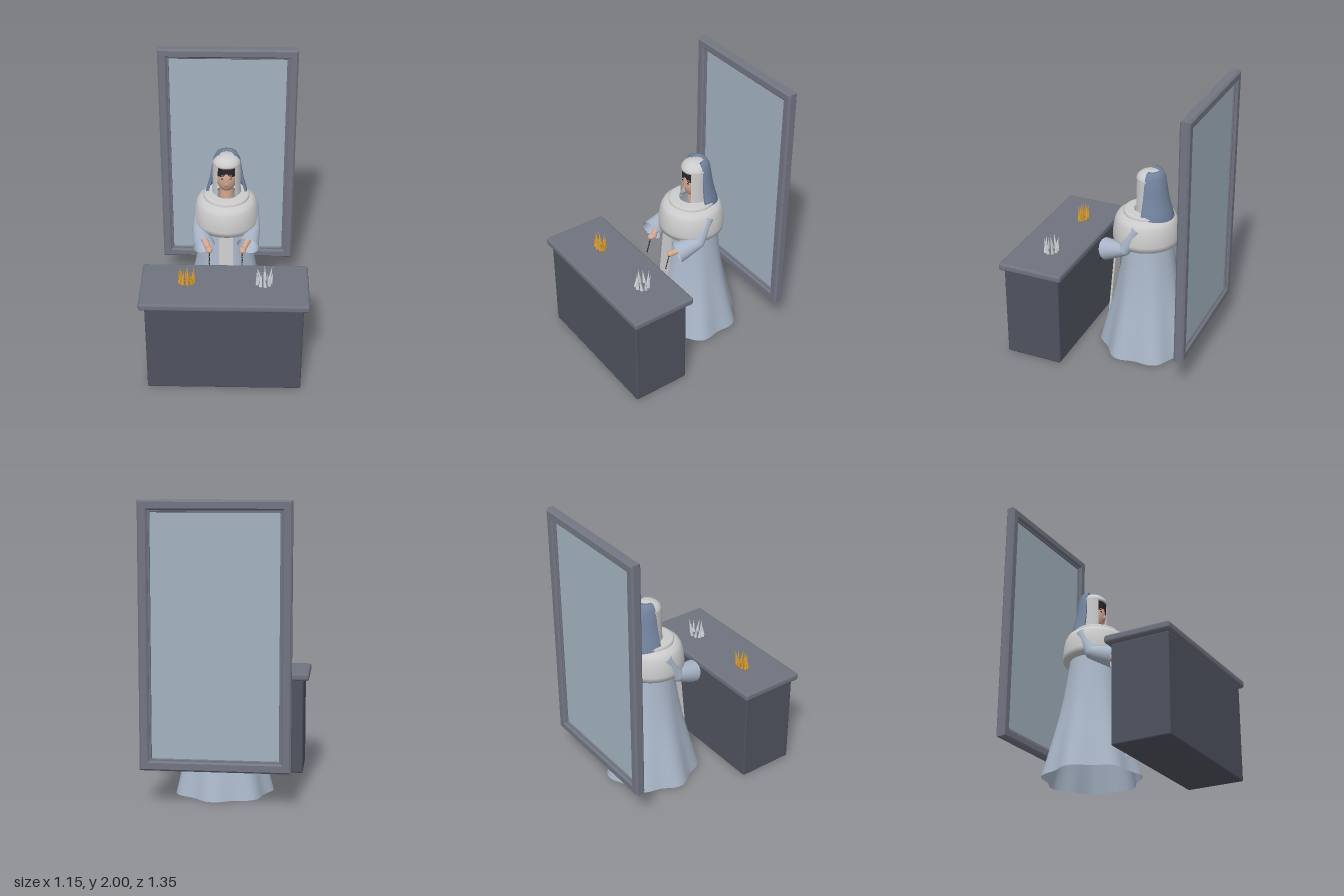
import * as THREE from 'three';
import { RoundedBoxGeometry } from 'three/addons/geometries/RoundedBoxGeometry.js';

const V = (x, y, z) => new THREE.Vector3(x, y, z);
const mat = (color, flatShading = false) =>
  new THREE.MeshStandardMaterial({ color, side: THREE.DoubleSide, flatShading });

const M = {
  altar: mat(0x4f535f), slab: mat(0x6f737f), frame: mat(0x727682), pane: mat(0xa3b2bf),
  robe: mat(0xa9b6c8), cloth: mat(0xdcdde0), veil: mat(0x73849f), skin: mat(0xd0a68e),
  hair: mat(0x2a2427), lips: mat(0x9c6258), gold: mat(0xd89c2c, true), silver: mat(0xcdd2d6, true),
};

export function createModel() {
  const root = new THREE.Group();

  function add(name, geometry, material, pos = [0, 0, 0], parent = root) {
    const mesh = new THREE.Mesh(geometry, material);
    mesh.name = name;
    mesh.position.set(...pos);
    parent.add(mesh);
    return mesh;
  }
  const lathe = (pts, seg = 48, start = 0, len = Math.PI * 2) =>
    new THREE.LatheGeometry(pts.map(p => new THREE.Vector2(...p)), seg, start, len);

  // Tapered tube from point a (radius ra) to point b (radius rb)
  function limb(name, a, b, ra, rb, material, open, parent) {
    const d = b.clone().sub(a);
    const g = new THREE.CylinderGeometry(rb, ra, d.length(), 24, 1, open);
    const m = add(name, g, material, a.clone().add(b).multiplyScalar(0.5).toArray(), parent);
    m.quaternion.setFromUnitVectors(V(0, 1, 0), d.normalize());
    return m;
  }

  // Altar block and top slab
  add('altarBody', new RoundedBoxGeometry(1.07, 0.69, 0.415, 2, 0.012), M.altar, [0, 0.347, 0.4425]);
  add('altarSlab', new RoundedBoxGeometry(1.15, 0.055, 0.475, 2, 0.018), M.slab, [0, 0.7175, 0.4375]);

  // Tall window: bevelled frame, inner bead and pane
  function border(name, w, y0, y1, t, depth, bevel) {
    const rect = (T, x, a, b) => new T().moveTo(-x, a).lineTo(x, a).lineTo(x, b).lineTo(-x, b).closePath();
    const s = rect(THREE.Shape, w - bevel, y0 + bevel, y1 - bevel);
    s.holes.push(rect(THREE.Path, w - t + bevel, y0 + t - bevel, y1 - t + bevel));
    const g = new THREE.ExtrudeGeometry(s, {
      depth: depth - 2 * bevel, bevelThickness: bevel, bevelSize: bevel, bevelSegments: 1 });
    g.translate(0, 0, -depth / 2 + bevel);
    add(name, g, M.frame, [0, 0, -0.64]);
  }
  border('windowFrame', 0.497, 0.235, 2, 0.066, 0.07, 0.012);
  border('windowBead', 0.435, 0.297, 1.938, 0.017, 0.035, 0.004);
  add('windowPane', new THREE.BoxGeometry(0.85, 1.63, 0.012), M.pane, [0, 1.1175, -0.64]);

  // Robe: flared skirt whose hem spreads into seven soft folds
  const robe = lathe([[0.328, 0], [0.298, 0.13], [0.264, 0.28], [0.23, 0.43], [0.204, 0.58],
    [0.184, 0.72], [0.168, 0.86], [0.15, 1.0], [0.1, 1.06]], 84);
  const p = robe.attributes.position;
  for (let i = 0; i < p.count; i++) {
    const x = p.getX(i), z = p.getZ(i), fall = Math.max(0, 1 - p.getY(i) / 0.9);
    const k = 1 + 0.055 * fall ** 1.4 * Math.cos(7 * (Math.atan2(x, z) - 2.99));
    p.setX(i, x * k - 0.01 * fall);
    p.setZ(i, z * k);
  }
  robe.computeVertexNormals();
  add('robe', robe, M.robe, [0, 0, -0.215]);

  // Shoulder cape, collar and front panel
  add('cape', lathe([[0.16, 0.853], [0.23, 0.853], [0.234, 0.89], [0.23, 0.95], [0.218, 1.01],
    [0.2, 1.045], [0.17, 1.063], [0.1, 1.072]]), M.cloth, [0, 0, -0.197]);
  add('collar', lathe([[0.163, 1.055], [0.165, 1.075], [0.155, 1.087], [0.135, 1.085], [0.09, 1.09]]),
    M.cloth, [0, 0, -0.2]);
  const panel = add('frontPanel', new THREE.BoxGeometry(0.1, 0.9, 0.014), M.cloth, [0, 0.55, 0.033]);
  panel.rotation.x = -0.09;

  // Head and face
  const head = new THREE.Group();
  head.name = 'head';
  root.add(head);
  add('neck', new THREE.CylinderGeometry(0.045, 0.05, 0.1, 24), M.skin, [0, 1.1, -0.22], head);
  const skull = add('face', new THREE.SphereGeometry(1, 32, 24), M.skin, [0, 1.215, -0.215], head);
  skull.scale.set(0.074, 0.115, 0.08);
  for (const s of [-1, 1]) {
    const eye = add('eye', new THREE.SphereGeometry(0.008, 12, 8), M.hair, [s * 0.028, 1.232, -0.143], head);
    eye.scale.set(1.2, 0.6, 0.7);
    const brow = add('eyebrow', new THREE.BoxGeometry(0.025, 0.004, 0.006), M.hair, [s * 0.028, 1.25, -0.145], head);
    brow.rotation.z = -s * 0.12;
  }
  const nose = add('nose', new THREE.ConeGeometry(0.009, 0.035, 8), M.skin, [0, 1.208, -0.134], head);
  nose.scale.z = 0.9;
  const mouth = add('mouth', new THREE.SphereGeometry(0.011, 12, 8), M.lips, [0, 1.172, -0.144], head);
  mouth.scale.set(1, 0.45, 0.6);

  // Fringe of hair in stepped locks
  for (let i = -2; i <= 2; i++) {
    const a = i * 0.34, drop = Math.abs(i) === 2 ? 0.085 : i === 0 ? 0.058 : 0.07;
    const lock = add('hairLock', new THREE.BoxGeometry(0.031, drop, 0.02), M.hair,
      [Math.sin(a) * 0.078, 1.332 - drop / 2, -0.22 + Math.cos(a) * 0.074], head);
    lock.rotation.y = a;
  }

  // White wimple, open around the face, with a dome on top
  const gap = 0.66;
  add('wimple', lathe([[0.105, 1.07], [0.1, 1.12], [0.1, 1.25], [0.098, 1.325]], 36, gap, Math.PI * 2 - 2 * gap),
    M.cloth, [0, 0, -0.225], head);
  add('wimpleDome', lathe([[0.088, 1.315], [0.098, 1.318], [0.098, 1.33], [0.088, 1.352], [0.066, 1.371],
    [0.035, 1.381], [0, 1.384]], 36), M.cloth, [0, 0, -0.225], head);

  // Veil: thick half shell behind the head, closed at both front edges
  const profile = [[0.05, 1.375], [0.05, 1.39], [0.075, 1.388], [0.095, 1.345], [0.107, 1.27], [0.12, 1.19],
    [0.14, 1.11], [0.162, 1.035], [0.145, 1.035], [0.122, 1.11], [0.104, 1.19], [0.098, 1.27], [0.086, 1.34],
    [0.068, 1.372], [0.05, 1.375]];
  const veil = new THREE.Group();
  veil.name = 'veil';
  veil.position.z = -0.235;
  root.add(veil);
  const start = Math.PI / 2 - 0.16;
  add('veilShell', lathe(profile, 36, start, Math.PI + 0.32), M.veil, [0, 0, 0], veil);
  const edge = new THREE.ShapeGeometry(new THREE.Shape(profile.map(q => new THREE.Vector2(...q))));
  for (const phi of [start, -start])
    add('veilEdge', edge, M.veil, [0, 0, 0], veil).rotation.y = phi - Math.PI / 2;

  // Arms with wide open sleeves, hands and hanging bead strings
  for (const s of [-1, 1]) {
    const arm = new THREE.Group();
    arm.name = s > 0 ? 'leftArm' : 'rightArm';
    root.add(arm);
    const elbow = V(s * 0.197, 0.84, -0.115), cuff = V(s * 0.155, 0.79, 0.04);
    limb('upperSleeve', V(s * 0.18, 1.01, -0.205), elbow, 0.045, 0.045, M.robe, false, arm);
    add('elbow', new THREE.SphereGeometry(0.045, 20, 14), M.robe, elbow.toArray(), arm);
    limb('wideSleeve', elbow, cuff, 0.046, 0.079, M.robe, true, arm);
    limb('forearm', elbow, V(s * 0.125, 0.775, 0.05), 0.03, 0.02, M.skin, false, arm);
    const hand = add('hand', new THREE.SphereGeometry(1, 20, 14), M.skin, [s * 0.118, 0.771, 0.06], arm);
    hand.scale.set(0.025, 0.021, 0.036);
    for (let i = 0; i < 10; i++)
      add('bead', new THREE.SphereGeometry(0.005, 8, 6), M.hair,
        [s * 0.116, 0.76 - i * 0.012, 0.078 + i * 0.0033], arm);
  }

  // Two clusters of leaning spikes on the altar
  function spikes(name, cx, rx, rz, material) {
    const group = new THREE.Group();
    group.name = name;
    root.add(group);
    for (let i = 0; i < 9; i++) {
      const a = i / 9 * Math.PI * 2, h = 0.1 + 0.022 * ((i * 4) % 3) / 2;
      const base = V(cx + rx * Math.cos(a), 0.743, 0.415 + rz * Math.sin(a));
      const tip = base.clone().add(V(0.02 * Math.cos(a * 2 + 1), h, 0.014 * Math.sin(a * 2 + 1)));
      const d = tip.clone().sub(base);
      const c = add('spike', new THREE.ConeGeometry(0.013, d.length(), 6), material,
        base.add(tip).multiplyScalar(0.5).toArray(), group);
      c.quaternion.setFromUnitVectors(V(0, 1, 0), d.normalize());
    }
  }
  spikes('goldSpikes', -0.262, 0.048, 0.026, M.gold);
  spikes('silverSpikes', 0.268, 0.048, 0.042, M.silver);

  return root;
}
